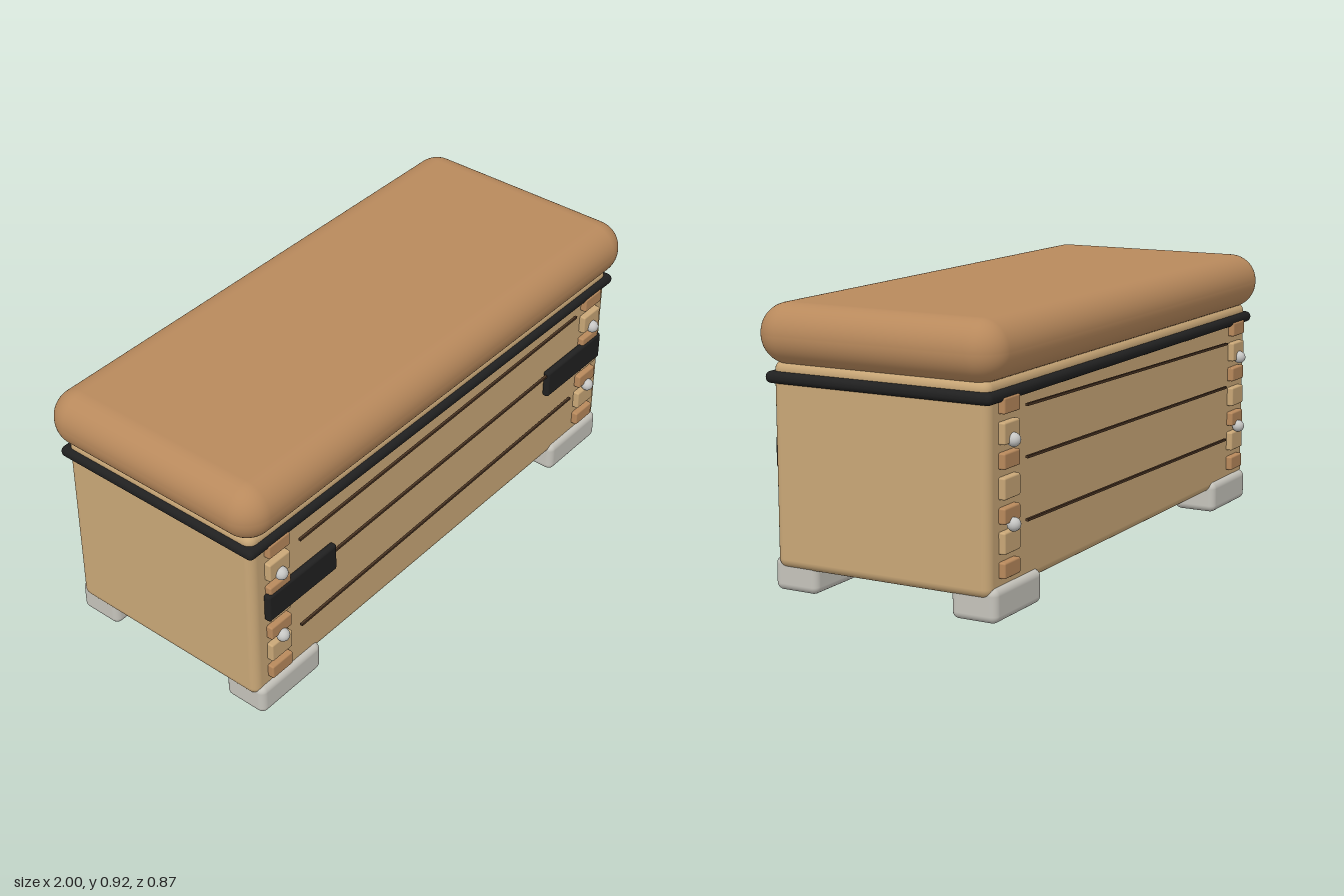
import * as THREE from 'three';
import { RoundedBoxGeometry } from 'three/addons/geometries/RoundedBoxGeometry.js';

const material = (name, color) => {
  const m = new THREE.MeshStandardMaterial({ color });
  m.name = name;
  return m;
};

export function createModel() {
  const model = new THREE.Group();
  model.name = 'paddedBench';

  const wood = material('pale wood', 0xc9a777);
  const leather = material('tan leather', 0xb8895c);
  const black = material('black webbing', 0x202020);
  const groove = material('dark groove', 0x4a3423);
  const rubber = material('grey rubber', 0xc5c3bb);
  const steel = material('steel', 0xc6c6c4);

  const add = (name, geometry, mat, x, y, z) => {
    const mesh = new THREE.Mesh(geometry, mat);
    mesh.name = name;
    mesh.position.set(x, y, z);
    model.add(mesh);
    return mesh;
  };
  const rounded = (w, h, d, r, segments = 4) => new RoundedBoxGeometry(w, h, d, segments, r);

  // Wooden box, padded top and the band below it
  add('body', rounded(1.9, 0.663, 0.774, 0.03), wood, 0, 0.4085, 0);
  add('cushion', rounded(2, 0.195, 0.87, 0.095, 8), leather, 0, 0.8225, 0);
  add('band', rounded(1.936, 0.038, 0.81, 0.018), black, 0, 0.687, 0);

  const foot = rounded(0.29, 0.11, 0.16, 0.024);
  const darkJoint = rounded(0.096, 0.05, 0.05, 0.006, 2);
  const paleJoint = rounded(0.096, 0.068, 0.05, 0.006, 2);
  const knob = new THREE.SphereGeometry(0.022, 20, 14);
  const line = new THREE.BoxGeometry(1.49, 0.008, 0.009);

  for (const front of [1, -1]) {
    for (const side of [1, -1]) {
      add('foot', foot, rubber, side * 0.793, 0.055, front * 0.324);

      // Alternating corner joints
      for (let i = 0; i < 7; i++) {
        const dark = i % 2 === 0;
        add('cornerJoint', dark ? darkJoint : paleJoint, dark ? leather : wood,
          side * 0.842, 0.157 + i * 0.0835, front * 0.384);
      }

      // Round bolt heads
      for (const y of [0.293, 0.551]) add('bolt', knob, steel, side * 0.842, y, front * 0.412);
    }

    // Slightly tilted grooves between the planks
    for (const y of [0.27, 0.45, 0.626].map((v, i) => (i === 1 ? 0.4655 : v))) {
      add('plankGroove', line, groove, 0, y, front * 0.402).rotation.z = 0.0175;
    }
  }

  // Carry straps on the front face
  const strap = rounded(0.325, 0.104, 0.026, 0.01);
  for (const side of [1, -1]) add('strap', strap, black, side * 0.741, 0.438, 0.401);

  return model;
}
